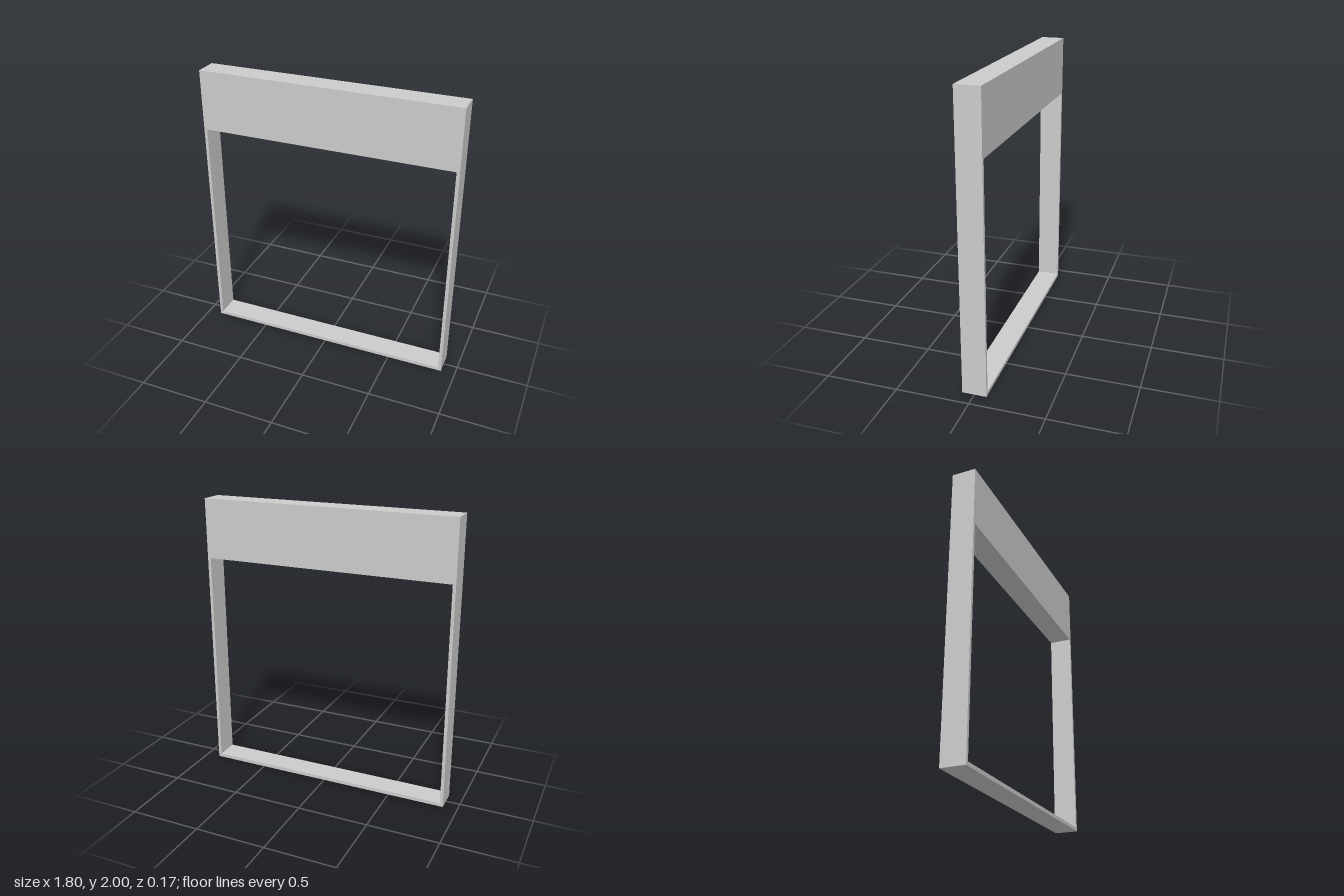
import * as THREE from 'three';

const HALF_WIDTH = 0.9, HEIGHT = 2, DEPTH = 0.165;
const OPENING = { halfWidth: 0.878, bottom: 0.025, top: 1.58 };

// Closed rectangle, symmetric about x = 0
function rectangle(path, halfWidth, bottom, top) {
  path.moveTo(-halfWidth, bottom);
  path.lineTo(halfWidth, bottom);
  path.lineTo(halfWidth, top);
  path.lineTo(-halfWidth, top);
  path.closePath();
  return path;
}

export function createModel() {
  const group = new THREE.Group();
  group.name = 'openFrame';

  // Thin side posts and sill with a deep header, as one solid with an opening
  const outline = rectangle(new THREE.Shape(), HALF_WIDTH, 0, HEIGHT);
  outline.holes.push(rectangle(new THREE.Path(), OPENING.halfWidth, OPENING.bottom, OPENING.top));
  const geometry = new THREE.ExtrudeGeometry(outline, { depth: DEPTH, bevelEnabled: false });
  geometry.translate(0, 0, -DEPTH / 2);

  const frame = new THREE.Mesh(geometry, new THREE.MeshStandardMaterial({ color: 0xcccccc }));
  frame.name = 'frameWithHeader';
  group.add(frame);
  return group;
}
